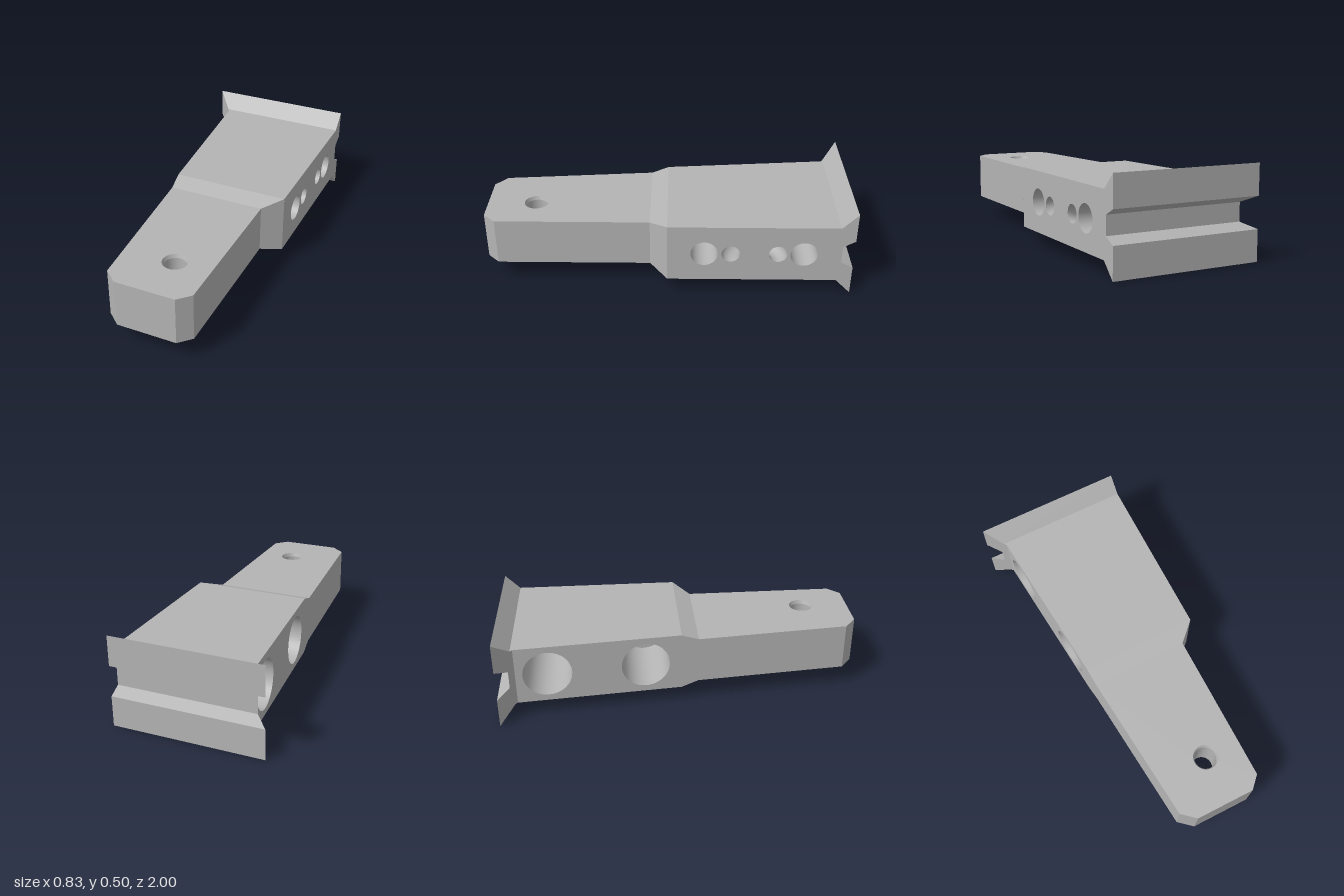
import * as THREE from 'three';

const MID = 0.25;                                  // mid height of the block
const RIGHT = 0.413, ARM = 0.314;                  // straight side of body and arm
const slant = z => -0.239 + 0.0895 * z;            // tapered side
const flare = z => z + 0.585;                      // flared side of the end flange
const half = z => z < -0.917 ? -0.75 - z           // half thickness along the length
  : z < 0 ? 0.167
  : z < 0.095 ? 0.167 - 0.034 * z / 0.095 : 0.133;

export function createModel() {
  const group = new THREE.Group();
  const metal = new THREE.MeshStandardMaterial({ color: 0xb4b4b4, side: THREE.DoubleSide });
  metal.name = 'grey metal';

  const add = (name, geometry) => {
    const mesh = new THREE.Mesh(geometry, metal);
    mesh.name = name;
    group.add(mesh);
    return mesh;
  };

  // Flat panel with round holes [u, v, radius], mapped into space
  const panel = (name, outline, holes, map) => {
    const shape = new THREE.Shape(outline.map(([u, v]) => new THREE.Vector2(u, v)));
    for (const [u, v, r] of holes) {
      shape.holes.push(new THREE.Path().absarc(u, v, r, 0, Math.PI * 2, true));
    }
    const geometry = new THREE.ShapeGeometry(shape, 24);
    const p = geometry.attributes.position;
    for (let i = 0; i < p.count; i++) p.setXYZ(i, ...map(p.getX(i), p.getY(i)));
    geometry.computeVertexNormals();
    return add(name, geometry);
  };

  // Upper and lower skins, outlines in (x, -z)
  const hole = { x: 0.113, z: 0.73, rim: 0.067, r: 0.059, bevel: 0.02 };
  for (const [side, s] of [['upper', 1], ['lower', -1]]) {
    const skin = (name, pts, h, holes = []) => panel(side + name,
      pts.map(([x, z]) => [x, -z]), holes, (u, v) => [u, MID + s * h(-v), -v]);
    skin('FlangeFlare', [[-0.415, -1], [RIGHT, -1], [RIGHT, -0.917], [-0.332, -0.917]], z => -0.75 - z);
    skin('BodyFace', [[-0.332, -0.917], [RIGHT, -0.917], [RIGHT, 0], [slant(0), 0],
      [slant(-0.905), -0.905]], () => 0.167);
    skin('Step', [[slant(0), 0], [RIGHT, 0], [ARM, 0.095], [slant(0.095), 0.095]], half);
    skin('ArmFace', [[slant(0.095), 0.095], [ARM, 0.095], [ARM, 0.935], [0.25, 1],
      [-0.08, 1], [slant(0.935), 0.935]], () => 0.133, [[hole.x, -hole.z, hole.rim]]);
    // Bevelled rim of the vertical hole
    const rim = s > 0 ? [hole.rim, hole.r] : [hole.r, hole.rim];
    add(side + 'HoleBevel', new THREE.CylinderGeometry(...rim, hole.bevel, 48, 1, true))
      .position.set(hole.x, MID + s * (0.133 - hole.bevel / 2), hole.z);
  }
  add('verticalHole', new THREE.CylinderGeometry(hole.r, hole.r, 0.266 - 2 * hole.bevel, 48, 1, true))
    .position.set(hole.x, MID, hole.z);

  // Upright side walls, outlines in (-z, y)
  const wall = (name, pts, xOf, holes = []) => panel(name,
    pts.map(([z, y]) => [-z, y]), holes.map(([z, r]) => [-z, MID, r]), (u, v) => [xOf(-u), v, -u]);
  const strip = zs => [...zs.map(z => [z, MID - half(z)]),
    ...[...zs].reverse().map(z => [z, MID + half(z)])];
  const notch = [[-1, 0.335], [-0.935, 0.3], [-0.935, 0.2], [-1, 0.167]];
  const bores = [-0.198, -0.733], tunnel = { z: -0.467, R: 0.127, r: 0.049 };

  wall('straightSide', [...strip([-1, -0.917, -0.0001]), ...notch], () => RIGHT, [
    ...bores.map(z => [z, 0.073]),
    [tunnel.z + tunnel.R, tunnel.r], [tunnel.z - tunnel.R, tunnel.r]]);
  wall('shoulderSide', strip([0, 0.095]), z => RIGHT - (RIGHT - ARM) * z / 0.095);
  wall('armSide', strip([0.095, 0.935]), () => ARM);
  wall('taperedSide', strip([-0.905, -0.0001, 0.095, 0.935]), slant, bores.map(z => [z, 0.133]));
  wall('flangeSide', [...strip([-1, -0.917, -0.905]), ...notch], flare);

  // Arm tip with cut corners
  const tip = [[ARM, 0.935], [0.25, 1], [-0.08, 1], [slant(0.935), 0.935]];
  for (let i = 0; i < 3; i++) {
    const [a, b] = [tip[i], tip[i + 1]];
    panel('armTip', [[0, 0.117], [1, 0.117], [1, 0.383], [0, 0.383]], [],
      (t, y) => [a[0] + (b[0] - a[0]) * t, y, a[1] + (b[1] - a[1]) * t]);
  }

  // Back face with a groove running across it
  const back = [[-1, 0.5], ...notch, [-1, 0]];
  for (let i = 0; i < back.length - 1; i++) {
    const [a, b] = [back[i], back[i + 1]];
    panel('backGroove', [[0, 0], [1, 0], [1, 1], [0, 1]], [], (t, k) => {
      const z = a[0] + (b[0] - a[0]) * k;
      return [flare(z) + (RIGHT - flare(z)) * t, a[1] + (b[1] - a[1]) * k, z];
    });
  }

  // Cross bores: wide counterbore from the tapered side, narrow from the straight side
  const ledge = 0.15;
  for (const z of bores) {
    const wide = new THREE.CylinderGeometry(0.133, 0.133, 1, 48, 1, true).rotateZ(-Math.PI / 2);
    const p = wide.attributes.position;
    for (let i = 0; i < p.count; i++) p.setX(i, p.getX(i) < 0 ? slant(z + p.getZ(i)) : ledge);
    add('counterbore', wide).position.set(0, MID, z);
    add('counterboreLedge', new THREE.RingGeometry(0.073, 0.133, 48).rotateY(-Math.PI / 2))
      .position.set(ledge, MID, z);
    add('bore', new THREE.CylinderGeometry(0.073, 0.073, RIGHT - ledge, 48, 1, true).rotateZ(Math.PI / 2))
      .position.set((RIGHT + ledge) / 2, MID, z);
  }

  // Curved tunnel joining the two small holes
  add('curvedTunnel', new THREE.TorusGeometry(tunnel.R, tunnel.r, 32, 32, Math.PI)
    .rotateX(Math.PI / 2).rotateY(-Math.PI / 2)).position.set(RIGHT, MID, tunnel.z);

  return group;
}
